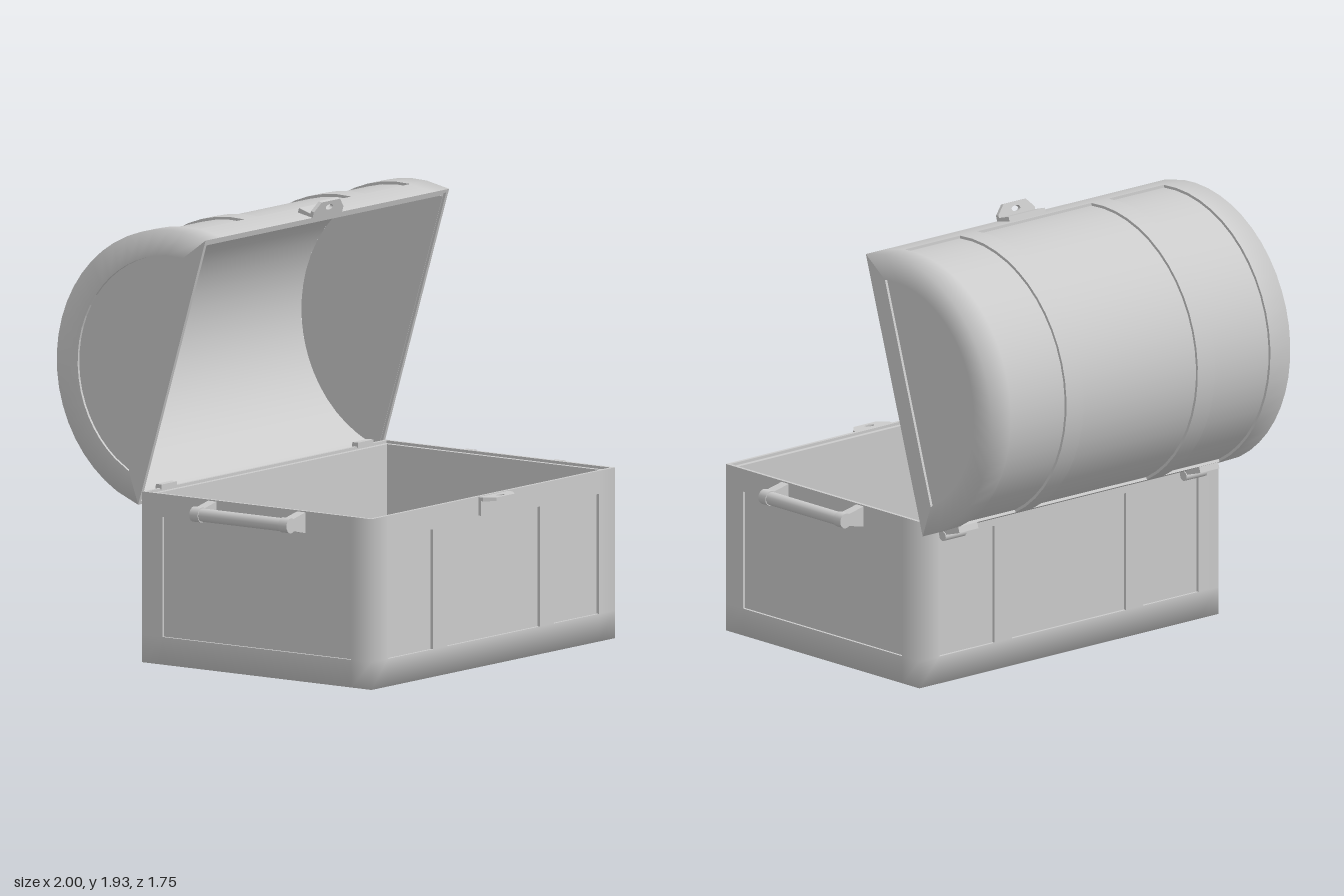
import * as THREE from 'three';

const V = (x, y, z) => new THREE.Vector3(x, y, z);
const material = new THREE.MeshStandardMaterial({ color: 0xcccccc });
const HX = 0.865, HZ = 0.615, H = 0.74, R = 0.617, D = 0.012;
const BANDS = [-HX, -0.75, -0.43, -0.33, 0.33, 0.43, 0.75, HX];

function part(name, geometry, parent, x = 0, y = 0, z = 0) {
  const mesh = new THREE.Mesh(geometry, material);
  mesh.name = name;
  mesh.position.set(x, y, z);
  parent.add(mesh);
  return mesh;
}

// Collects quads (counter-clockwise corners), flat unless normals are given
function quadBuilder() {
  const pos = [], nor = [];
  return {
    quad(p, n) {
      const flat = p[1].clone().sub(p[0]).cross(p[2].clone().sub(p[0])).normalize();
      for (const k of [0, 1, 2, 0, 2, 3]) {
        pos.push(...p[k].toArray());
        nor.push(...(n ? n[k] : flat).toArray());
      }
    },
    build() {
      const g = new THREE.BufferGeometry();
      g.setAttribute('position', new THREE.Float32BufferAttribute(pos, 3));
      g.setAttribute('normal', new THREE.Float32BufferAttribute(nor, 3));
      return g;
    },
  };
}

// Grid surface with recessed panels; edge normals are softened by soft(point, normal)
function panelled(us, vs, place, normal, soft, recessed = true) {
  const b = quadBuilder();
  const hole = (i, j) => recessed && i % 2 === 1 && j > 0 && j < vs.length - 2;
  for (let i = 0; i < us.length - 1; i++) for (let j = 0; j < vs.length - 1; j++) {
    const uv = [[us[i], vs[j]], [us[i + 1], vs[j]], [us[i + 1], vs[j + 1]], [us[i], vs[j + 1]]];
    const p = uv.map(c => place(...c)), n = uv.map(c => normal(...c));
    if (!hole(i, j)) {
      b.quad(p, p.map((q, k) => soft(q, n[k].clone()).normalize()));
      continue;
    }
    const low = p.map((q, k) => q.clone().addScaledVector(n[k], -D));
    b.quad(low, n);
    [[0, -1], [1, 0], [0, 1], [-1, 0]].forEach(([di, dj], k) => {
      const m = (k + 1) % 4;
      if (!hole(i + di, j + dj)) b.quad([p[k], p[m], low[m], low[k]]);
    });
  }
  return b.build();
}

// Stepped rim and inner faces from rectangles [halfX, halfZ, y]
function liner(rects, closed) {
  const b = quadBuilder();
  const rings = rects.map(([x, z, y]) => [V(x, y, z), V(x, y, -z), V(-x, y, -z), V(-x, y, z)]);
  for (let r = 0; r < rings.length - 1; r++) for (let k = 0; k < 4; k++) {
    const m = (k + 1) % 4;
    b.quad([rings[r][k], rings[r][m], rings[r + 1][m], rings[r + 1][k]]);
  }
  if (closed) b.quad(rings[rings.length - 1]);
  return b.build();
}

// Bracket with a pierced tab, hanging below its origin and pointing to +z
function makeLatch(name) {
  const g = new THREE.Group();
  g.name = name;
  const s = new THREE.Shape([[-0.105, -0.01], [0.105, -0.01], [0.105, 0.025], [0.065, 0.066],
    [-0.065, 0.066], [-0.105, 0.025]].map(p => new THREE.Vector2(...p)));
  const h = new THREE.Path();
  h.absellipse(0, 0.037, 0.025, 0.013, 0, Math.PI * 2, true);
  s.holes.push(h);
  part('latchTab', new THREE.ExtrudeGeometry(s, { depth: 0.016, bevelEnabled: false }).rotateX(Math.PI / 2), g);
  part('latchPlate', new THREE.BoxGeometry(0.21, 0.08, 0.024), g, 0, -0.04, 0.001);
  return g;
}

// Carrying handle on the +x side
function makeHandle(name) {
  const g = new THREE.Group();
  g.name = name;
  const s = new THREE.Shape([[0.85, 0.64], [HX, 0.645], [0.955, 0.665], [0.955, 0.716],
    [HX, 0.735], [0.85, 0.735]].map(p => new THREE.Vector2(...p)));
  for (const z of [-0.238, 0.238]) {
    part('handleArm', new THREE.ExtrudeGeometry(s, { depth: 0.045, bevelEnabled: false }), g, 0, 0, z - 0.0225);
    part('handleEnd', new THREE.CylinderGeometry(0.033, 0.033, 0.045, 16).rotateX(Math.PI / 2), g, 0.967, 0.69, z);
  }
  part('handleBar', new THREE.CylinderGeometry(0.029, 0.029, 0.45, 16).rotateX(Math.PI / 2), g, 0.967, 0.69, 0);
  return g;
}

function makeBody() {
  const body = new THREE.Group();
  body.name = 'body';
  const soft = (p, n) => V(
    Math.abs(p.x) > HX - 0.001 ? Math.sign(p.x) : 0,
    p.y < 0.001 ? -1 : 0,
    Math.abs(p.z) > HZ - 0.001 ? Math.sign(p.z) : 0);
  const wall = (name, us, vs, o, u, v) => {
    const n = u.clone().cross(v);
    part(name, panelled(us, vs, (a, c) => o.clone().addScaledVector(u, a).addScaledVector(v, c),
      () => n, soft), body);
  };
  const heights = [0, 0.12, 0.64, H], depths = [-HZ, -0.505, 0.505, HZ];
  wall('frontWall', BANDS, heights, V(0, 0, HZ), V(1, 0, 0), V(0, 1, 0));
  wall('backWall', BANDS, heights, V(0, 0, -HZ), V(-1, 0, 0), V(0, 1, 0));
  wall('leftWall', depths, heights, V(HX, 0, 0), V(0, 0, -1), V(0, 1, 0));
  wall('rightWall', depths, heights, V(-HX, 0, 0), V(0, 0, 1), V(0, 1, 0));
  wall('base', [-HX, -0.75, 0.75, HX], depths, V(0, 0, 0), V(1, 0, 0), V(0, 0, 1));
  part('bodyLining', liner([[HX, HZ, H], [0.85, 0.6, H], [0.85, 0.6, H - 0.012],
    [0.83, 0.58, H - 0.012], [0.83, 0.58, 0.035]], true), body);

  const latch = makeLatch('bodyLatch');
  latch.position.set(0, H - 0.003, HZ);
  const left = makeHandle('leftHandle'), right = makeHandle('rightHandle');
  right.rotation.y = Math.PI;
  body.add(latch, left, right);

  // Lower hinge leaves and pins
  for (const x of [-0.697, 0.697]) {
    part('hingeLeaf', new THREE.BoxGeometry(0.11, 0.09, 0.02), body, x, 0.705, -HZ - 0.003);
    part('hingeLip', new THREE.BoxGeometry(0.11, 0.022, 0.03), body, x, 0.746, -HZ + 0.005);
    part('hingePin', new THREE.CylinderGeometry(0.021, 0.021, 0.12, 14).rotateZ(Math.PI / 2), body, x, 0.662, -0.643);
  }
  return body;
}

// Lid built as a half barrel: opening on y = 0, free edge at +z
function makeLid() {
  const lid = new THREE.Group();
  lid.name = 'lid';
  const radial = t => V(0, Math.sin(t), Math.cos(t));
  const arc = [0, 0.1];
  for (let i = 0; i <= 22; i++) arc.push(0.2 + (Math.PI - 0.4) * i / 22);
  arc.push(Math.PI - 0.1, Math.PI);
  const soft = (p, n) => n.setX(Math.abs(p.x) > HX - 0.001 ? Math.sign(p.x) : 0);
  // Keep the first and last strips plain so the panels stop short of the rim
  const shellArc = arc.filter((t, i) => i !== 1 && i !== arc.length - 2);
  part('lidShell', panelled(BANDS, shellArc, (x, t) => radial(t).multiplyScalar(R).setX(x),
    (x, t) => radial(t), soft), lid);
  part('lidLining', panelled([-0.83, 0.83], arc, (x, t) => radial(t).multiplyScalar(0.585).setX(-x),
    (x, t) => radial(t).negate(), (p, n) => n, false), lid);
  part('lidRim', liner([[HX, R, 0], [0.85, 0.602, 0], [0.85, 0.602, -0.012], [0.83, 0.585, -0.012]], false), lid)
    .rotation.z = Math.PI;

  // End faces with a recessed D-shaped panel
  const r = 0.505, a0 = Math.asin(0.09 / r);
  const inner = t => radial(a0 + (Math.PI - 2 * a0) * t / Math.PI).multiplyScalar(r).setX(HX);
  const outer = t => radial(t).multiplyScalar(R).setX(HX);
  const face = panelled(shellArc, [0, 1], (t, v) => inner(t).lerp(outer(t), v), () => V(1, 0, 0),
    (p, n) => (Math.hypot(p.y, p.z) > R - 0.01 ? n.add(V(0, p.y / R, p.z / R)) : n), false);
  const b = quadBuilder();
  b.quad([outer(0), outer(Math.PI), inner(Math.PI), inner(0)]);
  const loop = shellArc.map(inner).reverse();
  loop.forEach((p, k) => {
    const q = loop[(k + 1) % loop.length];
    b.quad([p, q, q.clone().setX(HX - D), p.clone().setX(HX - D)]);
  });
  const edge = b.build();
  const panel = new THREE.ShapeGeometry(new THREE.Shape(
    shellArc.map(t => new THREE.Vector2(-inner(t).z, inner(t).y)))).rotateY(Math.PI / 2);
  const disc = new THREE.CircleGeometry(0.585, 28, 0, Math.PI).rotateY(-Math.PI / 2);
  for (const [name, turn] of [['lidLeftEnd', 0], ['lidRightEnd', Math.PI]]) {
    const end = new THREE.Group();
    end.name = name;
    end.rotation.y = turn;
    part('endFrame', face, end);
    part('endEdge', edge, end);
    part('endPanel', panel, end, HX - D);
    part('endLining', disc, end, 0.83);
    lid.add(end);
  }

  const latch = makeLatch('lidLatch');
  latch.rotation.z = Math.PI;
  latch.position.z = R;
  lid.add(latch);
  for (const x of [-0.697, 0.697])
    part('lidHingeLeaf', new THREE.BoxGeometry(0.11, 0.11, 0.028), lid, x, 0.055, -R - 0.002);
  return lid;
}

export function createModel() {
  const chest = new THREE.Group();
  chest.name = 'chest';
  const body = makeBody(), lid = makeLid();
  body.position.z = 0.195;
  lid.position.set(0, 1.27, -0.26);
  lid.rotation.x = -1.274;
  chest.add(body, lid);
  return chest;
}
